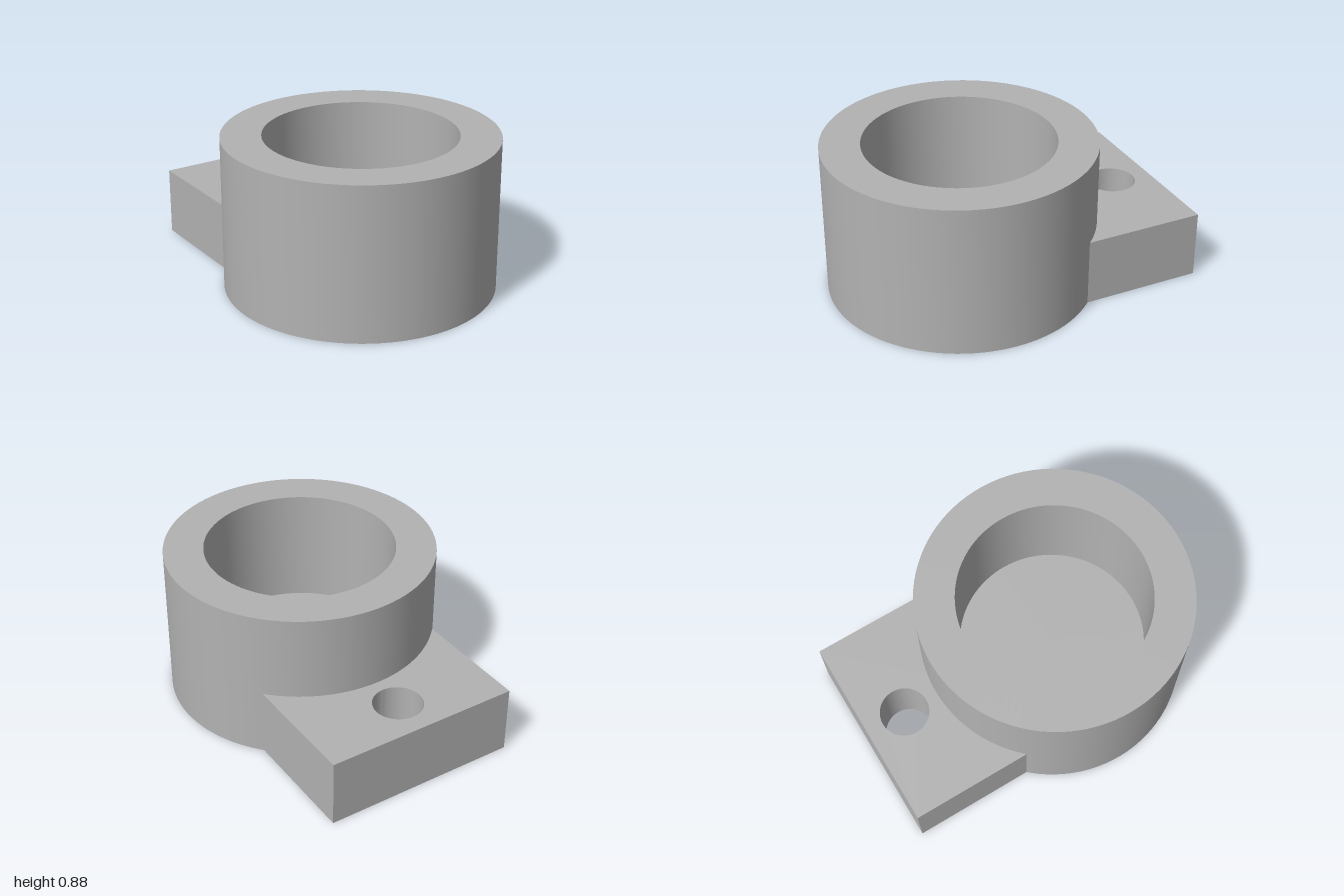
import * as THREE from 'three';
import { toCreasedNormals } from 'three/addons/utils/BufferGeometryUtils.js';

const OUTER = 0.773, BORE = 0.545, HEIGHT = 0.885, FLOOR = 0.2, CENTRE_Z = 0.225;
const TAB_HALF = 0.57, TAB_HEIGHT = 0.395, TAB_BACK = 1;
const HOLE = 0.14, HOLE_Z = 0.76;

export function createModel() {
  const grey = new THREE.MeshStandardMaterial({ color: 0xb2b2b2 });
  grey.name = 'plain grey';

  const group = new THREE.Group();
  group.name = 'cupWithMountingTab';
  const add = (name, geometry) => {
    const mesh = new THREE.Mesh(toCreasedNormals(geometry, Math.PI / 6), grey);
    mesh.name = name;
    group.add(mesh);
    return mesh;
  };

  // Round cup with a blind bore, open at the top
  const profile = [
    [0, 0], [OUTER, 0], [OUTER, HEIGHT], [BORE, HEIGHT], [BORE, FLOOR], [0, FLOOR],
  ].map(([x, y]) => new THREE.Vector2(x, y));
  add('cup', new THREE.LatheGeometry(profile, 96)).position.z = CENTRE_Z;

  // Rear tab: its front edge follows the cup wall, a round hole runs through it
  const angle = Math.acos(TAB_HALF / OUTER);
  const tab = new THREE.Shape();
  tab.moveTo(TAB_HALF, TAB_BACK);
  tab.lineTo(-TAB_HALF, TAB_BACK);
  tab.absarc(0, -CENTRE_Z, OUTER, Math.PI - angle, angle, true);
  tab.closePath();
  const hole = new THREE.Path();
  hole.absarc(0, HOLE_Z, HOLE, 0, Math.PI * 2, true);
  tab.holes.push(hole);
  const tabGeometry = new THREE.ExtrudeGeometry(tab, {
    depth: TAB_HEIGHT, bevelEnabled: false, curveSegments: 48,
  });
  tabGeometry.rotateX(-Math.PI / 2);
  add('mountingTab', tabGeometry);

  return group;
}
